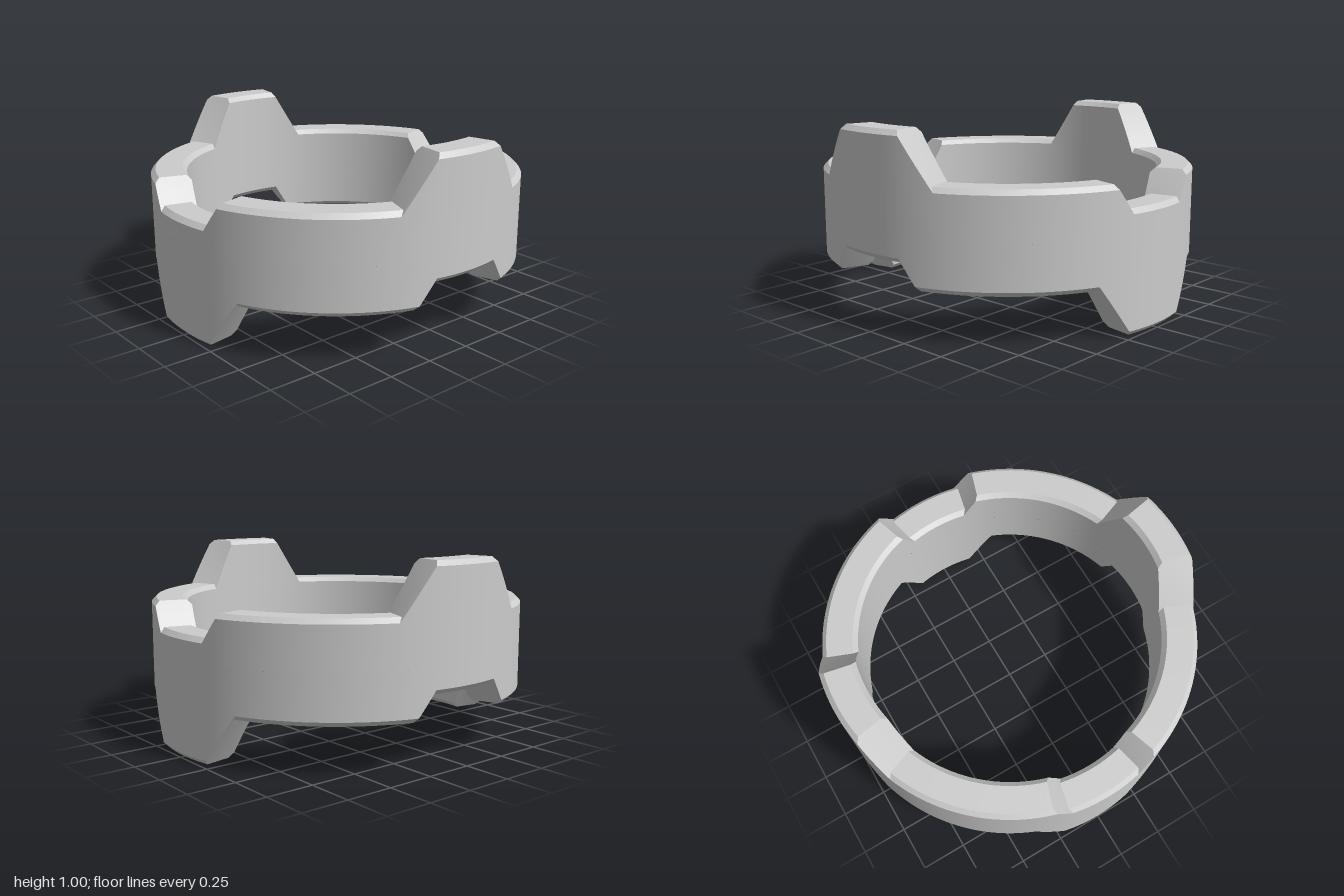
import * as THREE from 'three';
import { mergeGeometries, toCreasedNormals } from 'three/addons/utils/BufferGeometryUtils.js';

const OUTER = 1, INNER = 0.81, BEVEL = 0.025, SLOPE = 1.375;
const QUARTER = Math.PI / 2;
const TAB_START = 0.193, NOTCH_START = 0.2;
const clamp = THREE.MathUtils.clamp;

// Height of the upper edge at angle d from a tab's middle (0) to a notch's middle (PI / 2).
// Flat stretches are lowered by drop; the ramps stay where they are, so they have no bevel.
function edgeHeight(d, drop) {
  if (d < QUARTER / 2) return clamp(1 - SLOPE * (d - TAB_START), 0.75 - drop, 1 - drop);
  const e = QUARTER - d;
  return clamp(0.6 + SLOPE * (e - NOTCH_START), 0.625 - drop, 0.75 - drop);
}

// Angles of one quarter: every corner of the edge, with even steps in between
function quarterAngles() {
  const tab = [1, 0.975, 0.75, 0.725].map((y) => TAB_START + (1 - y) / SLOPE);
  const notch = [0.75, 0.725, 0.625, 0.6].map((y) => QUARTER - NOTCH_START - (y - 0.6) / SLOPE);
  const corners = [0, ...tab, ...notch, QUARTER];
  const angles = [];
  for (let i = 0; i < corners.length - 1; i++) {
    const span = corners[i + 1] - corners[i];
    const steps = Math.ceil(span / 0.04);
    for (let k = 0; k < steps; k++) angles.push(corners[i] + (span * k) / steps);
  }
  return angles;
}

// Full circle as { angle, d }, mirroring the quarter back and forth
function ringStations() {
  const up = quarterAngles();
  const down = [QUARTER, ...up.slice(1).reverse()];
  const stations = [];
  for (let q = 0; q < 4; q++) {
    const list = q % 2 ? down : up;
    for (const d of list) {
      stations.push({ angle: q * QUARTER + (q % 2 ? QUARTER - d : d), d });
    }
  }
  return stations;
}

// Upper half of the band, from the middle plane over the rim and down the inside
function halfBand() {
  const sections = ringStations().map(({ angle, d }) => {
    const low = edgeHeight(d, BEVEL) - 0.5;
    const rim = edgeHeight(d, 0) - 0.5;
    const points = [
      [OUTER, 0], [OUTER, low], [OUTER - BEVEL, rim],
      [INNER + BEVEL, rim], [INNER, low], [INNER, 0],
    ].map(([r, y]) => [r * Math.sin(angle), y, r * Math.cos(angle)]);
    return { points, sum: low + rim };
  });

  const positions = [];
  sections.forEach((s, i) => {
    const next = sections[(i + 1) % sections.length];
    const falling = next.sum < s.sum - 1e-6;
    for (let l = 0; l < 5; l++) {
      const a = s.points[l], b = next.points[l], c = next.points[l + 1], e = s.points[l + 1];
      // Split the bevel along the line where it meets a ramp
      const splitAC = l === 3 ? falling : !falling;
      const corners = splitAC ? [a, b, c, a, c, e] : [a, b, e, b, c, e];
      positions.push(...corners.flat());
    }
  });
  const geometry = new THREE.BufferGeometry();
  geometry.setAttribute('position', new THREE.Float32BufferAttribute(positions, 3));
  return geometry;
}

export function createModel() {
  const group = new THREE.Group();
  group.name = 'interlockingRing';

  // The lower half is the upper one turned over and rotated a quarter turn
  const upper = halfBand();
  const lower = upper.clone().rotateX(Math.PI).rotateY(QUARTER);
  const geometry = toCreasedNormals(mergeGeometries([upper, lower]), 0.5);
  geometry.translate(0, 0.5, 0);

  const band = new THREE.Mesh(geometry, new THREE.MeshStandardMaterial({ color: 0xcccccc }));
  band.name = 'ringBand';
  group.add(band);
  return group;
}
